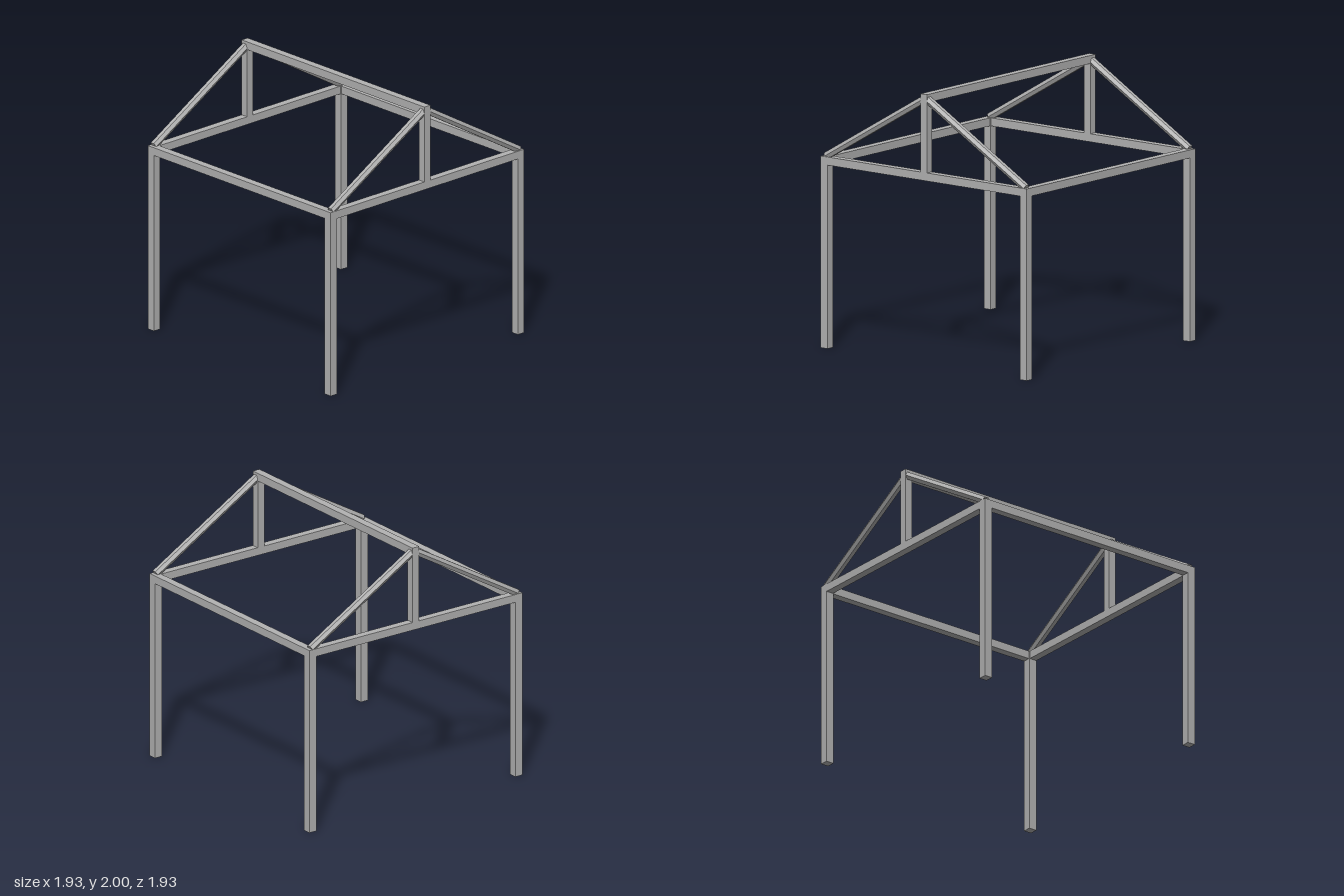
import * as THREE from 'three';

export function createModel() {
  const model = new THREE.Group();
  model.name = 'gableFrame';
  const grey = new THREE.MeshStandardMaterial({ color: 0xb2b2b2, flatShading: true });
  grey.name = 'grey';

  const half = 0.967;    // outer half width and depth
  const bar = 0.06;      // beam thickness
  const post = 0.064;    // corner post thickness
  const eaves = 1.42;    // top of the lower frame
  const ridgeY = 2 - bar / 2;
  const beamAt = half - bar / 2;
  const postAt = half - post / 2;

  const add = (name, geometry, x, y, z) => {
    const mesh = new THREE.Mesh(geometry, grey);
    mesh.name = name;
    mesh.position.set(x, y, z);
    model.add(mesh);
    return mesh;
  };
  const box = (name, w, h, d, x, y, z) =>
    add(name, new THREE.BoxGeometry(w, h, d), x, y, z);

  // Ridge beam along the top
  box('ridgeBeam', bar, bar, half * 2, 0, ridgeY, 0);

  for (const s of [1, -1]) {
    const side = s > 0 ? 'left' : 'right';
    const end = s > 0 ? 'front' : 'back';

    // Lower frame and the upright under the ridge
    const between = 2 * (half - post);
    box(side + 'SideBeam', bar, bar, between, s * beamAt, eaves - bar / 2, 0);
    box(end + 'CrossBeam', between, bar, bar, 0, eaves - bar / 2, s * beamAt);
    const kingHeight = 2 - bar - eaves;
    box(end + 'KingPost', bar, kingHeight, bar, 0, eaves + kingHeight / 2, s * beamAt);

    for (const t of [1, -1]) {
      const corner = end + (t > 0 ? 'Left' : 'Right');

      // Corner post
      box(corner + 'Post', post, eaves, post, t * postAt, eaves / 2, s * postAt);

      // Six-sided sloping rafter, from the corner up to the ridge
      const rise = ridgeY - 0.003 - eaves;
      const length = Math.hypot(beamAt, rise);
      const rafter = add(corner + 'Rafter',
        new THREE.CylinderGeometry(bar / 2, bar / 2, length, 6),
        t * beamAt / 2, eaves + rise / 2, s * beamAt);
      rafter.rotation.z = t * Math.atan2(beamAt, rise);
    }
  }
  return model;
}
